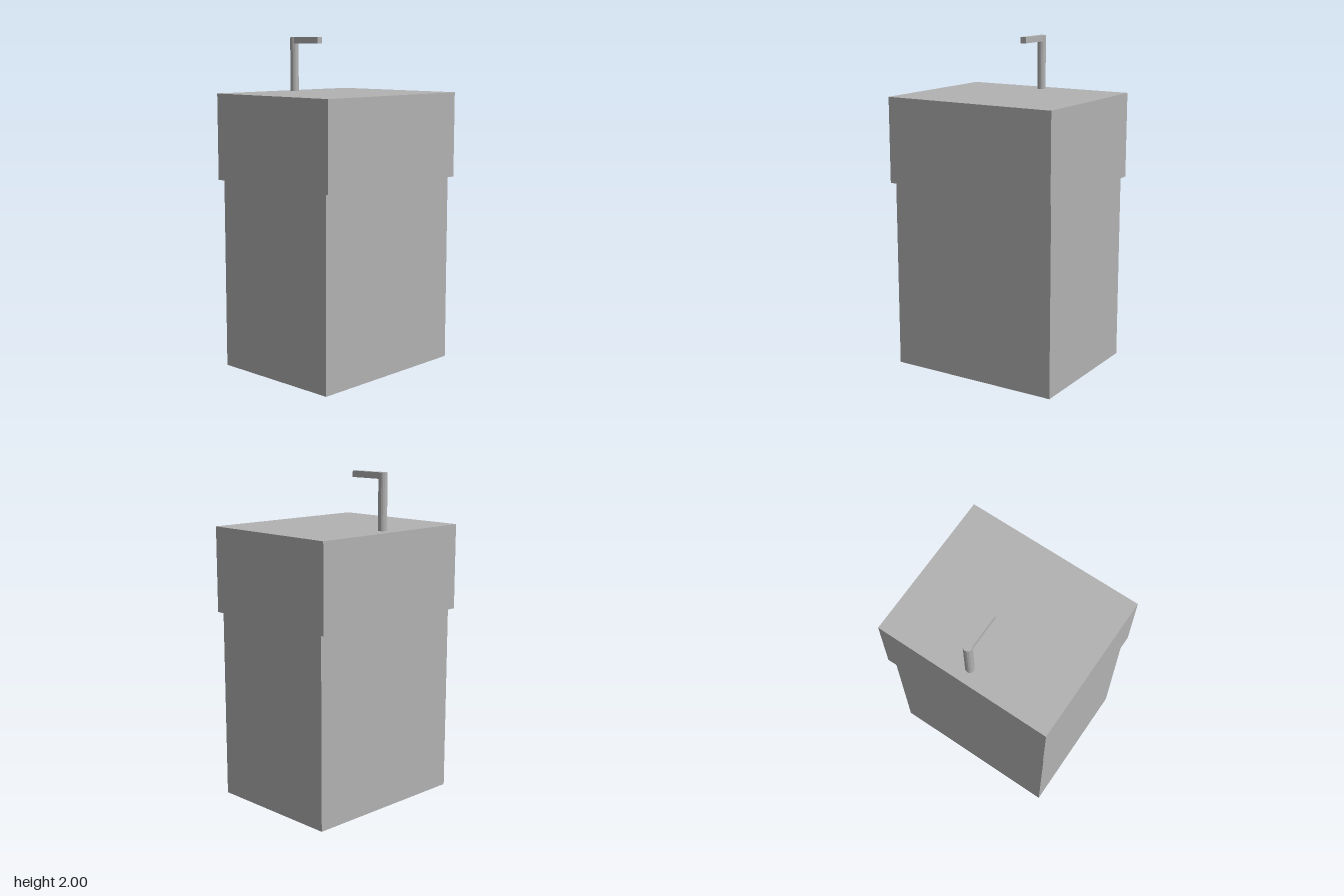
import * as THREE from 'three';

export function createModel() {
  const group = new THREE.Group();
  const grey = new THREE.MeshStandardMaterial({ color: 0xb2b2b2, flatShading: true });
  grey.name = 'grey';

  const add = (name, geometry, x, y, z) => {
    const mesh = new THREE.Mesh(geometry, grey);
    mesh.name = name;
    mesh.position.set(x, y, z);
    group.add(mesh);
  };
  // Box given by its width and its y and z limits
  const box = (name, width, y0, y1, z0, z1) =>
    add(name, new THREE.BoxGeometry(width, y1 - y0, z1 - z0), 0, (y0 + y1) / 2, (z0 + z1) / 2);

  // Vanity: cabinet below, wider basin block on top
  box('cabinet', 1.076, 0, 1.15, -0.426, 0.428);
  box('basin', 1.106, 1.15, 1.668, -0.461, 0.461);

  // Tap: round post and square spout reaching forward
  add('tapPost', new THREE.CylinderGeometry(0.026, 0.026, 0.332, 16), 0, 1.834, -0.372);
  box('tapSpout', 0.039, 1.963, 2, -0.372, -0.15);

  return group;
}
